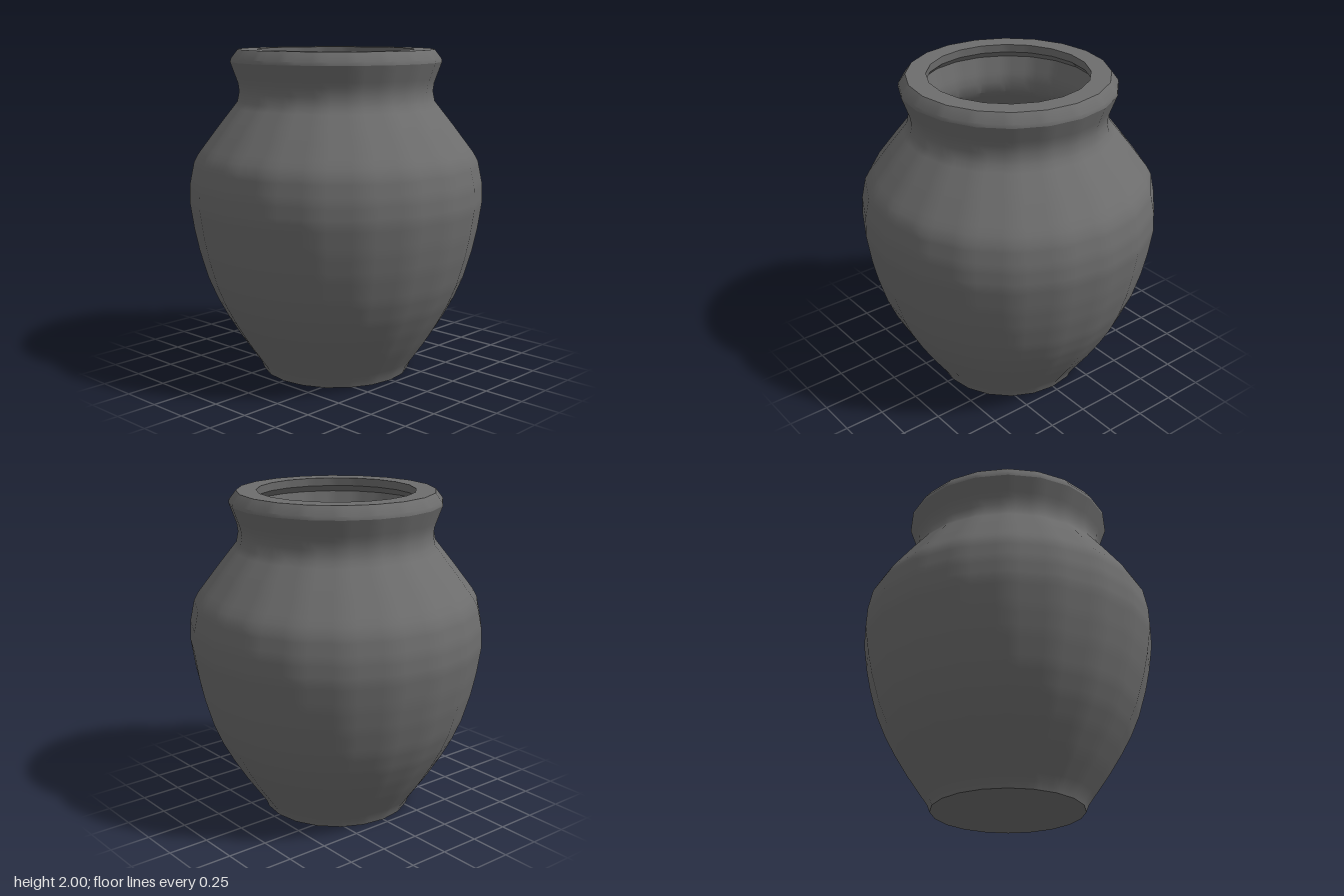
import * as THREE from 'three';
import { toCreasedNormals } from 'three/addons/utils/BufferGeometryUtils.js';

const SIDES = 20;
const STEPS = 4; // strips per side, so that each side stays flat between soft corners

export function createModel() {
  const model = new THREE.Group();
  model.name = 'pot';
  const clay = new THREE.MeshStandardMaterial({ color: 0x6d6d6d });

  // Each profile is a list of [radius, height], turned about the y axis
  const turn = (name, profile) => {
    const corners = profile.map(([r, y]) => new THREE.Vector2(r, y));
    // Extra rings close to the ends of long sections keep them straight when shaded
    const points = corners.flatMap((p, i) => {
      const next = corners[i + 1];
      if (!next || p.distanceTo(next) < 0.08) return [p];
      return [p, p.clone().lerp(next, 0.25), p.clone().lerp(next, 0.75)];
    });
    const lathe = new THREE.LatheGeometry(points, SIDES * STEPS);

    // Pull the rings in from a circle to a regular polygon
    const position = lathe.attributes.position;
    const half = Math.PI / SIDES;
    for (let i = 0; i < position.count; i++) {
      const step = Math.floor(i / points.length) % STEPS;
      const scale = Math.cos(half) / Math.cos((2 * step / STEPS - 1) * half);
      position.setX(i, position.getX(i) * scale);
      position.setZ(i, position.getZ(i) * scale);
    }
    const mesh = new THREE.Mesh(toCreasedNormals(lathe, 0.55), clay);
    mesh.name = name;
    model.add(mesh);
  };

  // Base, belly, shoulder and flared neck
  turn('outerWall', [
    [0, 0], [0.46, 0], [0.475, 0.04], [0.6, 0.22], [0.68, 0.35], [0.745, 0.47],
    [0.8, 0.6], [0.85, 0.77], [0.88, 0.91], [0.905, 1.08], [0.9, 1.2],
    [0.873, 1.33], [0.845, 1.38], [0.72, 1.545], [0.605, 1.69], [0.593, 1.75],
    [0.6, 1.8], [0.645, 1.925],
  ]);

  // Rim with a bevelled outer edge and a flat top
  turn('rim', [
    [0.645, 1.925], [0.642, 1.945], [0.6, 2], [0.48, 2], [0.485, 1.95], [0.525, 1.91],
  ]);

  // Hollow inside, from the neck down to the floor
  turn('innerWall', [
    [0.525, 1.91], [0.5, 1.8], [0.493, 1.75], [0.505, 1.68], [0.63, 1.52],
    [0.75, 1.36], [0.79, 1.25], [0.805, 1.1], [0.78, 0.91], [0.75, 0.77],
    [0.7, 0.6], [0.645, 0.47], [0.58, 0.35], [0.5, 0.22], [0.38, 0.08], [0, 0.08],
  ]);

  return model;
}
